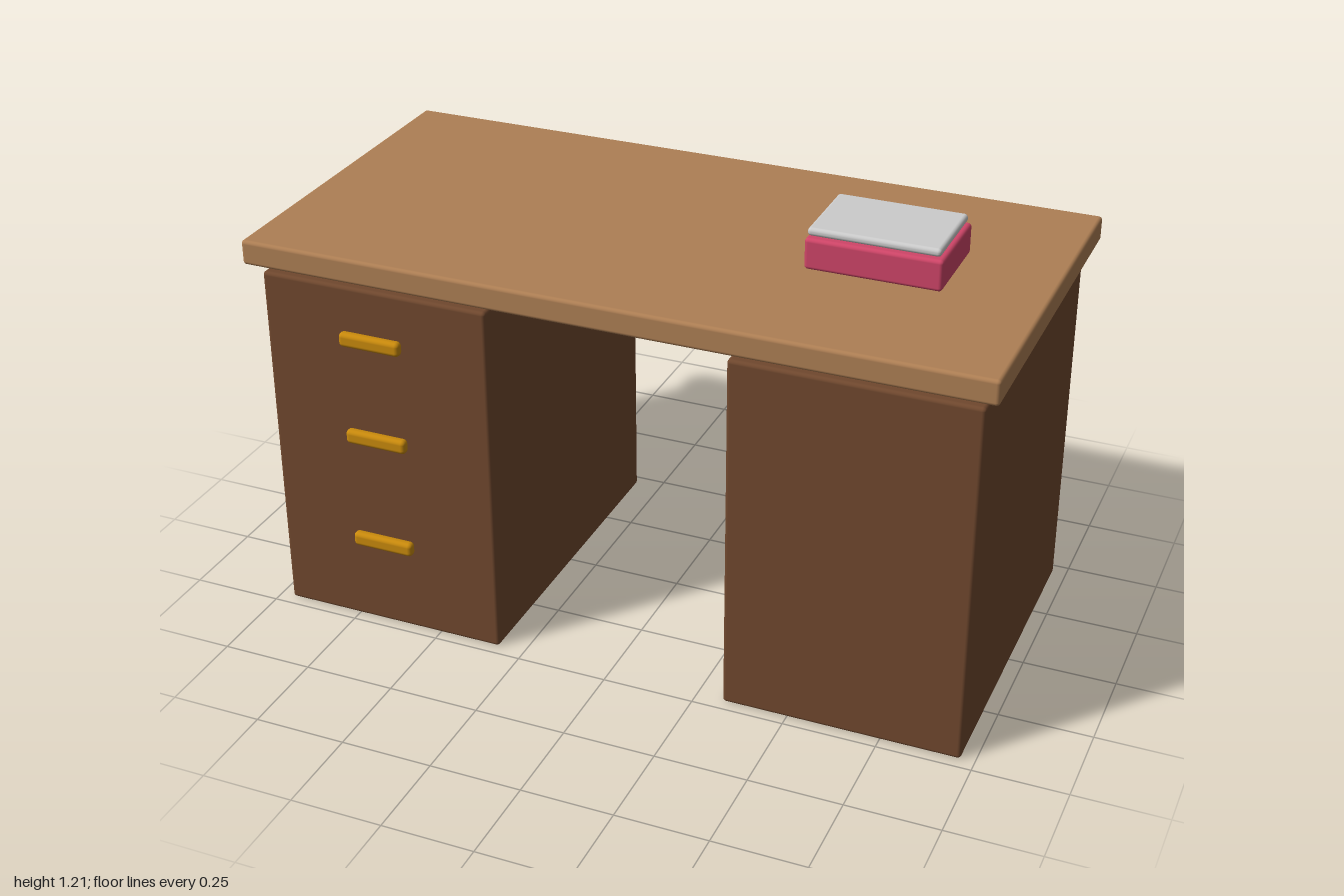
import * as THREE from 'three';
import { RoundedBoxGeometry } from 'three/addons/geometries/RoundedBoxGeometry.js';

const paint = (color) => new THREE.MeshStandardMaterial({ color });

export function createModel() {
  const desk = new THREE.Group();
  desk.name = 'desk';
  const darkWood = paint(0x70482e);
  const lightWood = paint(0xae7f54);
  const brass = paint(0xc98a0c);
  const red = paint(0xcf4568);
  const white = paint(0xdcdbd8);

  // Box with softened edges, given by its size and centre
  function addBox(name, material, [w, h, d], [x, y, z], radius) {
    const mesh = new THREE.Mesh(new RoundedBoxGeometry(w, h, d, 3, radius), material);
    mesh.name = name;
    mesh.position.set(x, y, z);
    desk.add(mesh);
  }

  // Desk top, just clear of the two pedestals
  addBox('deskTop', lightWood, [2, 0.068, 1], [0, 1.06, 0], 0.01);
  for (const side of [-1, 1]) {
    addBox(side < 0 ? 'rightPedestal' : 'leftPedestal', darkWood,
      [0.64, 1, 0.94], [side * 0.643, 0.5, 0], 0.01);
  }

  // Drawer pulls on the right pedestal
  [0.86, 0.575, 0.26].forEach((y, i) => {
    addBox(`drawerHandle${i + 1}`, brass, [0.175, 0.04, 0.028], [-0.647, y, 0.486], 0.012);
  });

  // Book with a thin notepad on top
  addBox('book', red, [0.356, 0.084, 0.254], [0.57, 1.144, 0], 0.01);
  addBox('notepad', white, [0.343, 0.022, 0.24], [0.568, 1.201, 0], 0.01);

  return desk;
}
